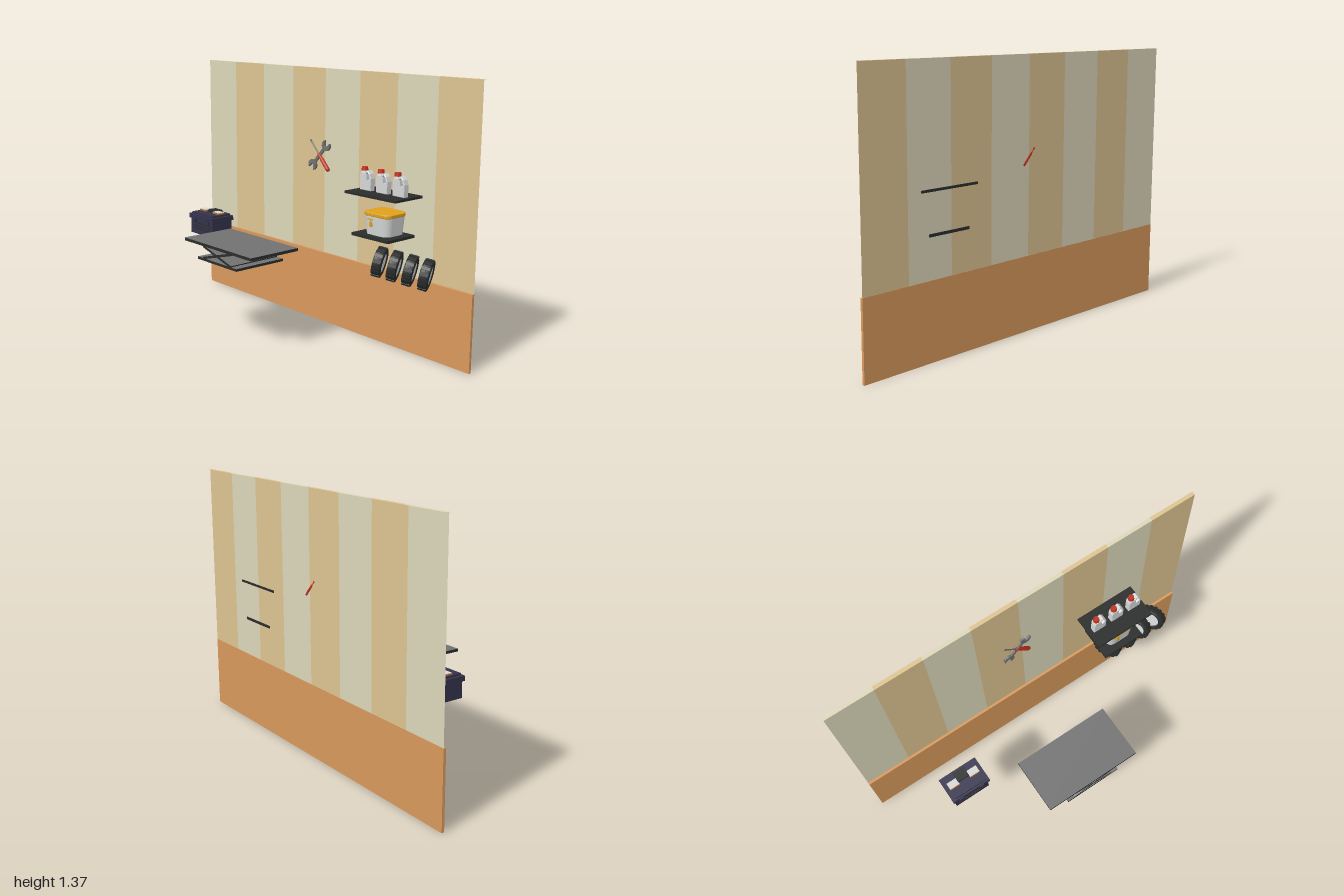
import * as THREE from 'three';

const mat = (name, color, side = THREE.FrontSide) => {
  const m = new THREE.MeshStandardMaterial({ color, side });
  m.name = name;
  return m;
};

export function createModel() {
  const root = new THREE.Group();
  root.name = 'garageWall';
  const cream = mat('cream wallpaper', 0xddd8ba, THREE.DoubleSide);
  const tan = mat('tan wallpaper', 0xdec492, THREE.DoubleSide);
  const wood = mat('wood panel', 0xd9995c);
  const dark = mat('black rubber', 0x2b2d2d);
  const grey = mat('grey steel', 0x727272);
  const navy = mat('navy plastic', 0x35334d);
  const white = mat('white plastic', 0xd6d8d8);
  const red = mat('red plastic', 0xc4321f);
  const yellow = mat('yellow lid', 0xe0a21c);
  const copper = mat('copper', 0xb8672a);

  const add = (parent, name, geo, material, x = 0, y = 0, z = 0) => {
    const m = new THREE.Mesh(geo, material);
    m.name = name;
    m.position.set(x, y, z);
    parent.add(m);
    return m;
  };
  // box given by its limits on each axis
  const box = (parent, name, material, x0, x1, y0, y1, z0, z1) =>
    add(parent, name, new THREE.BoxGeometry(x1 - x0, y1 - y0, z1 - z0), material,
      (x0 + x1) / 2, (y0 + y1) / 2, (z0 + z1) / 2);
  const group = (name, parent = root) => {
    const g = new THREE.Group();
    g.name = name;
    parent.add(g);
    return g;
  };
  const extrude = (shape, depth, bevel = 0) => new THREE.ExtrudeGeometry(shape, {
    depth: depth - 2 * bevel, bevelEnabled: bevel > 0, bevelSize: bevel,
    bevelThickness: bevel, bevelOffset: -bevel, bevelSegments: 1, curveSegments: 10,
  }).translate(0, 0, -depth / 2 + bevel);

  // wall: striped wallpaper, narrow top ledge and wood panel
  const wall = group('wall');
  for (let i = 0; i < 8; i++) {
    const x = -0.875 + i * 0.25, m = i % 2 ? tan : cream;
    add(wall, 'wallpaperStripe', new THREE.PlaneGeometry(0.25, 0.98), m, x, 0.875, -0.337);
    add(wall, 'wallTop', new THREE.PlaneGeometry(0.25, 0.02).rotateX(-Math.PI / 2), m, x, 1.365, -0.347);
  }
  box(wall, 'woodPanel', wood, -1, 1, 0, 0.385, -0.338, -0.324);

  // scissor lift table
  const lift = group('liftTable');
  const plated = [dark, dark, grey, grey, dark, dark];
  box(lift, 'tableTop', plated, -0.305, 0.232, 0.505, 0.52, 0.06, 0.357);
  box(lift, 'tableBase', plated, -0.193, 0.12, 0.43, 0.443, 0.06, 0.357);
  for (const s of [-1, 1]) {
    const arm = add(lift, 'scissorArm', new THREE.BoxGeometry(0.235, 0.012, 0.295), plated, -0.037, 0.474, 0.2085);
    arm.rotation.z = s * 0.27;
  }

  // car battery
  const battery = group('battery');
  box(battery, 'batteryBody', navy, -0.682, -0.484, 0.43, 0.52, -0.084, 0.047);
  box(battery, 'batteryLid', navy, -0.692, -0.474, 0.515, 0.54, -0.09, 0.054);
  box(battery, 'lidStep', navy, -0.675, -0.491, 0.54, 0.55, -0.08, 0.044);
  box(battery, 'lidGrip', dark, -0.617, -0.55, 0.55, 0.561, -0.075, -0.02);
  for (const y of [0.458, 0.474, 0.49])
    box(battery, 'frontRib', dark, -0.66, -0.506, y, y + 0.006, 0.046, 0.05);
  for (const s of [-1, 1]) {
    const x = -0.583 + s * 0.06;
    box(battery, 'terminal', copper, x - 0.028, x + 0.028, 0.55, 0.558, -0.045, -0.005);
    box(battery, 'terminalCap', white, x - 0.028, x + 0.028, 0.558, 0.561, -0.045, -0.008);
    box(battery, 'latch', navy, x - 0.012, x + 0.012, 0.5, 0.53, 0.045, 0.059);
  }

  // shelves
  const shelves = group('shelves');
  box(shelves, 'upperShelf', dark, 0.34, 0.675, 0.785, 0.797, -0.34, -0.146);
  box(shelves, 'lowerShelf', dark, 0.393, 0.633, 0.583, 0.597, -0.34, -0.146);

  // bottles with a pierced handle and red cap
  const outline = new THREE.Shape([[0, 0], [0.073, 0], [0.074, 0.06], [0.066, 0.085], [0.052, 0.1],
    [0.04, 0.098], [0.033, 0.09], [0.006, 0.09], [0, 0.074]].map(p => new THREE.Vector2(...p)));
  outline.holes.push(new THREE.Path([[0.046, 0.05], [0.043, 0.082], [0.051, 0.088], [0.06, 0.076],
    [0.064, 0.058]].map(p => new THREE.Vector2(...p))));
  const bottleGeo = extrude(outline, 0.034, 0.003);
  for (let i = 0; i < 3; i++) {
    const b = group('bottle');
    b.position.set(0.366 + i * 0.108, 0.797, -0.241);
    add(b, 'bottleBody', bottleGeo, white);
    add(b, 'bottleNeck', new THREE.CylinderGeometry(0.012, 0.014, 0.012, 14), white, 0.019, 0.094, 0);
    add(b, 'bottleCap', new THREE.CylinderGeometry(0.015, 0.017, 0.018, 14), red, 0.019, 0.105, 0);
  }

  // tapered tub with rounded corners, lid and drop mark
  const roundRect = (w, h, r) => {
    const s = new THREE.Shape();
    for (const [x, y, a] of [[1, 1, 0], [-1, 1, 1], [-1, -1, 2], [1, -1, 3]])
      s.absarc(x * (w / 2 - r), y * (h / 2 - r), r, a * Math.PI / 2, (a + 1) * Math.PI / 2);
    return s;
  };
  const tub = group('tub');
  tub.position.set(0.516, 0.597, -0.251);
  const tubGeo = extrude(roundRect(0.166, 0.15, 0.04), 0.096).rotateX(-Math.PI / 2).translate(0, 0.048, 0);
  const tp = tubGeo.attributes.position;
  for (let i = 0; i < tp.count; i++) {
    const k = 0.9 + tp.getY(i) / 0.096 * 0.1;
    tp.setXYZ(i, tp.getX(i) * k, tp.getY(i), tp.getZ(i) * k);
  }
  tubGeo.computeVertexNormals();
  add(tub, 'tubBody', tubGeo, white);
  add(tub, 'tubLid', extrude(roundRect(0.172, 0.154, 0.04), 0.018, 0.003).rotateX(-Math.PI / 2), yellow, 0, 0.101, 0);
  const drop = new THREE.Shape();
  drop.moveTo(0, 0.024);
  drop.quadraticCurveTo(0.02, -0.004, 0, -0.012);
  drop.quadraticCurveTo(-0.02, -0.004, 0, 0.024);
  add(tub, 'dropMark', extrude(drop, 0.006), yellow, -0.024, 0.05, 0.0725);
  box(tub, 'markBar', yellow, -0.044, -0.01, 0.074, 0.08, 0.07, 0.0755);

  // four leaning tyres in a row
  const tyreGeo = new THREE.LatheGeometry([[0.048, -0.019], [0.056, -0.025], [0.068, -0.023], [0.076, -0.015],
    [0.076, 0.015], [0.068, 0.023], [0.056, 0.025], [0.048, 0.019]].map(p => new THREE.Vector2(...p)), 24);
  const axis = new THREE.Vector3(-0.86, 0.2, 0.47).normalize();
  for (let i = 0; i < 4; i++) {
    const t = group('wheel');
    t.position.set(0.49 + i * 0.099, 0.448, -0.249);
    t.quaternion.setFromUnitVectors(new THREE.Vector3(0, 1, 0), axis);
    add(t, 'tyre', tyreGeo, dark);
    add(t, 'wheelDisc', new THREE.CylinderGeometry(0.05, 0.05, 0.038, 24), white);
    for (let j = 0; j < 16; j++) {
      const a = j / 16 * Math.PI * 2;
      const lug = add(t, 'treadBlock', new THREE.BoxGeometry(0.005, 0.04, 0.016), dark,
        Math.cos(a) * 0.075, 0, Math.sin(a) * 0.075);
      lug.rotation.y = -a;
    }
  }

  // crossed wrench and screwdriver hung on the wall
  const tools = group('tools');
  tools.position.set(-0.033, 0.908, -0.329);
  const wrench = group('wrench', tools);
  wrench.rotation.z = -Math.PI / 4 + 0.05;
  box(wrench, 'wrenchShaft', grey, -0.008, 0.008, -0.065, 0.065, -0.005, 0.005);
  const jaw = new THREE.Shape();
  jaw.absarc(0, 0, 0.029, Math.PI * 0.72, Math.PI * 2.28);
  jaw.lineTo(0.012, 0.006);
  jaw.lineTo(0.006, -0.006);
  jaw.lineTo(-0.006, -0.006);
  jaw.lineTo(-0.012, 0.006);
  for (const s of [1, -1]) {
    const head = add(wrench, 'wrenchJaw', extrude(jaw, 0.012), grey, 0, s * 0.076, 0);
    head.rotation.z = (s < 0 ? Math.PI : 0) + 0.3;
  }
  const driver = group('screwdriver', tools);
  driver.rotation.z = Math.PI / 4 - 0.04;
  add(driver, 'driverHandle', new THREE.LatheGeometry([[0, -0.104], [0.009, -0.102], [0.0115, -0.09],
    [0.0105, -0.03], [0.0085, -0.01], [0.0105, 0.008], [0, 0.012]].map(p => new THREE.Vector2(...p)), 10), red);
  add(driver, 'driverShank', new THREE.CylinderGeometry(0.0035, 0.0035, 0.09, 8), grey, 0, 0.052, 0);
  box(driver, 'driverTip', grey, -0.005, 0.005, 0.09, 0.104, -0.002, 0.002);

  return root;
}
